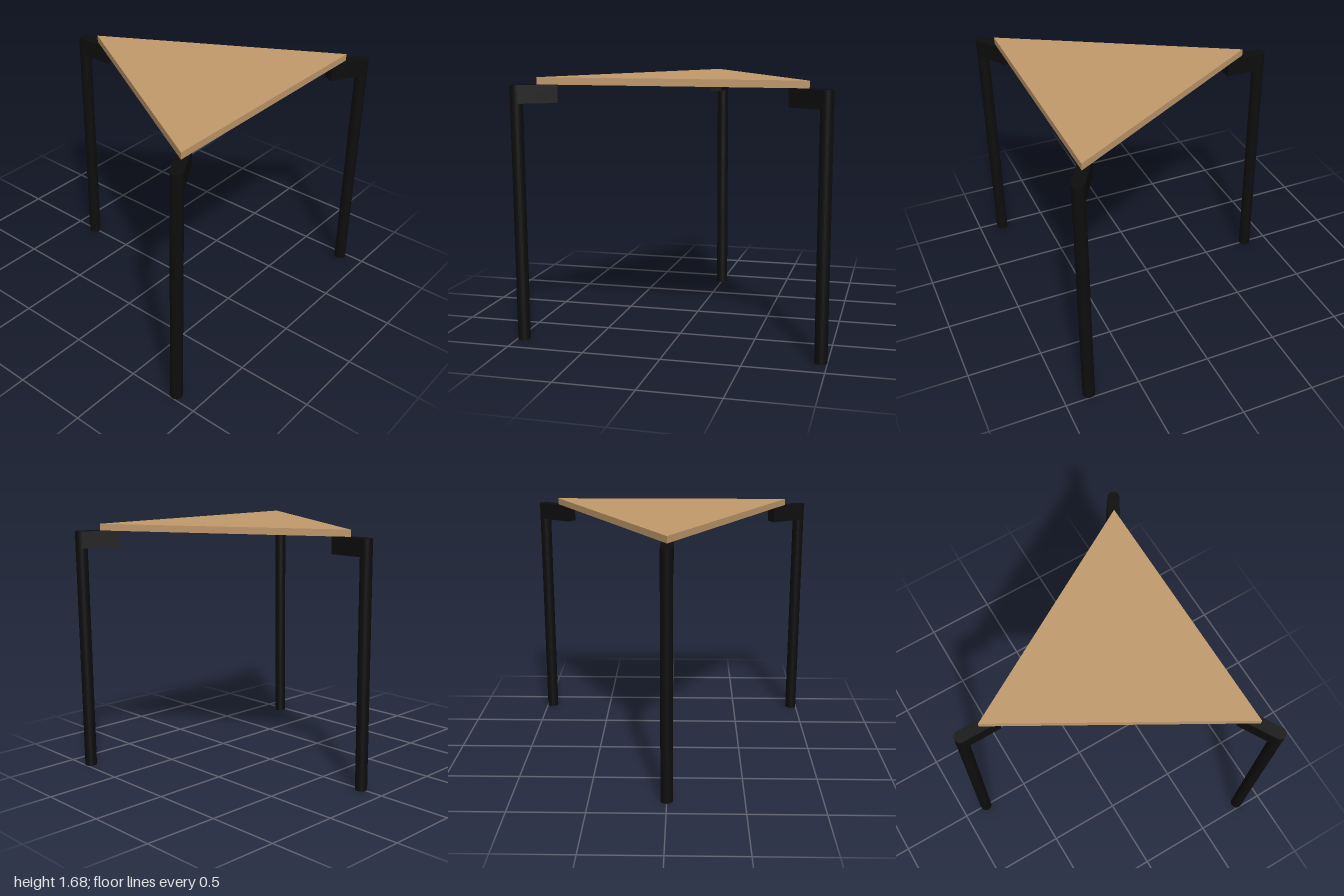
import * as THREE from 'three';

const CENTRE_Z = 0.277;   // centre of the triangular layout
const LEG_REACH = 1.1085; // distance from that centre to each leg
const LEG_RADIUS = 0.04;
const FRAME_TOP = 1.64;

export function createModel() {
  const wood = new THREE.MeshStandardMaterial({ color: 0xc19a6b });
  wood.name = 'wood';
  const blackMetal = new THREE.MeshStandardMaterial({ color: 0x0d0d0d });
  blackMetal.name = 'black metal';

  const table = new THREE.Group();
  table.name = 'triangularTable';

  // Triangular top, one corner pointing to the back
  const corners = [90, 210, 330].map((deg) => {
    const a = THREE.MathUtils.degToRad(deg);
    return new THREE.Vector2(Math.cos(a), Math.sin(a)).multiplyScalar(0.982);
  });
  const topGeometry = new THREE.ExtrudeGeometry(new THREE.Shape(corners), {
    depth: 0.045,
    bevelEnabled: false,
  });
  topGeometry.rotateX(-Math.PI / 2);
  const top = new THREE.Mesh(topGeometry, wood);
  top.name = 'tableTop';
  top.position.set(0, FRAME_TOP, CENTRE_Z);
  table.add(top);

  // Round post and a square arm reaching inwards under the top
  const postGeometry = new THREE.CylinderGeometry(LEG_RADIUS, LEG_RADIUS, FRAME_TOP, 32);
  postGeometry.translate(0, FRAME_TOP / 2, LEG_REACH);
  const armGeometry = new THREE.BoxGeometry(LEG_RADIUS * 2, 0.115, 0.25);
  armGeometry.translate(0, FRAME_TOP - 0.0575, LEG_REACH - 0.125);

  const directions = { backLeg: Math.PI, leftLeg: Math.PI / 3, rightLeg: -Math.PI / 3 };
  for (const [name, angle] of Object.entries(directions)) {
    const leg = new THREE.Group();
    leg.name = name;
    const post = new THREE.Mesh(postGeometry, blackMetal);
    post.name = 'post';
    const arm = new THREE.Mesh(armGeometry, blackMetal);
    arm.name = 'supportArm';
    leg.add(post, arm);
    leg.position.z = CENTRE_Z;
    leg.rotation.y = angle;
    table.add(leg);
  }

  return table;
}
